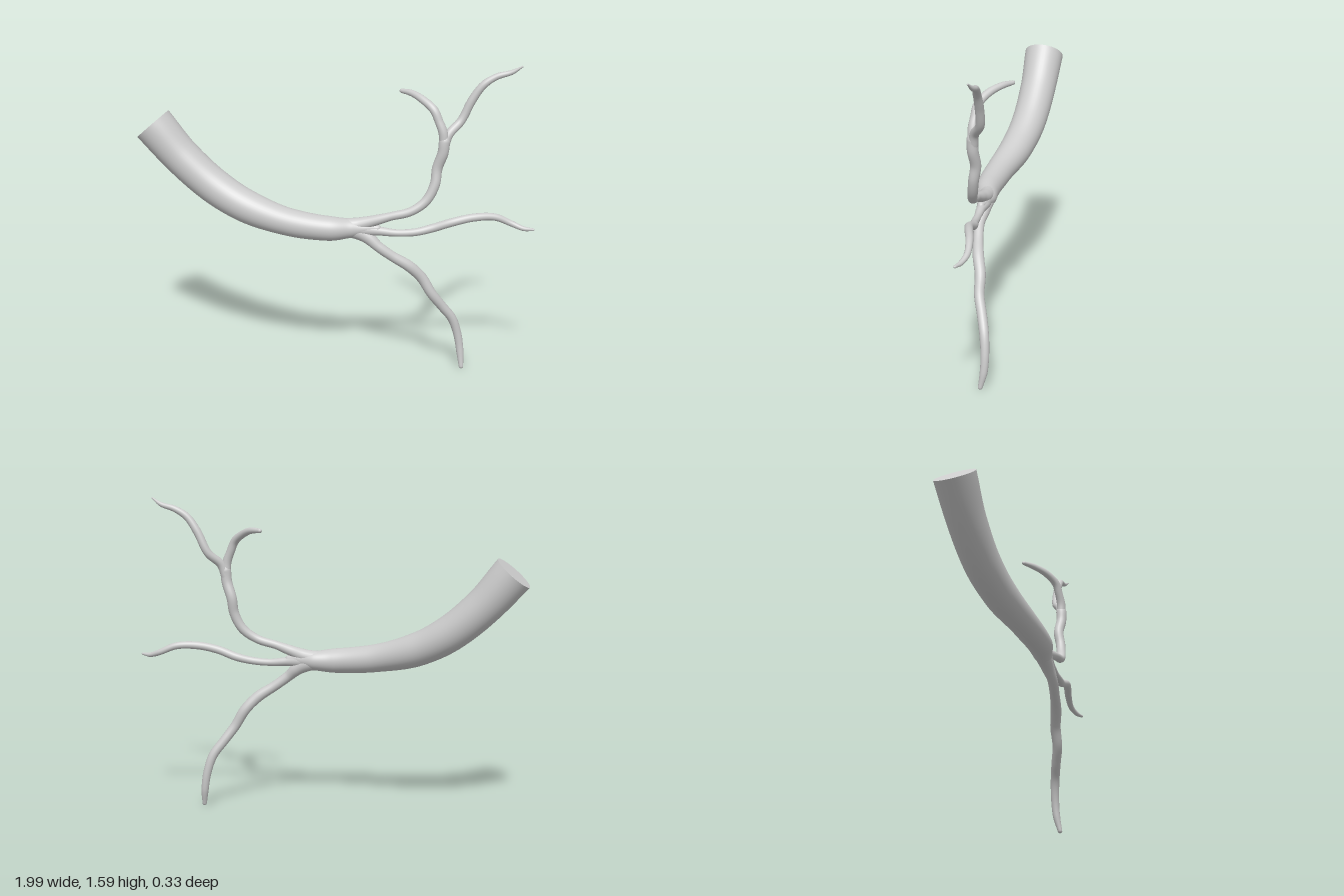
import * as THREE from 'three';

const material = new THREE.MeshStandardMaterial({ color: 0xcccccc });
const Z = new THREE.Vector3(0, 0, 1);

// Smooth tapered limb through stations [x, y, z, radius]; the far end is rounded.
function limb(name, stations, sides = 20) {
  const path = new THREE.CatmullRomCurve3(stations.map(s => new THREE.Vector3(s[0], s[1], s[2])));
  const steps = (stations.length - 1) * 8;
  const positions = [], index = [];
  let rings = 0;

  const addRing = (center, tangent, radius) => {
    const n = Z.clone().cross(tangent).normalize();
    const b = tangent.clone().cross(n);
    for (let i = 0; i < sides; i++) {
      const a = (i / sides) * Math.PI * 2;
      const p = center.clone()
        .addScaledVector(n, Math.cos(a) * radius)
        .addScaledVector(b, Math.sin(a) * radius);
      positions.push(p.x, p.y, p.z);
    }
    rings++;
  };

  for (let k = 0; k <= steps; k++) {
    const t = k / steps;
    const f = t * (stations.length - 1);
    const i = Math.min(Math.floor(f), stations.length - 2);
    const radius = THREE.MathUtils.lerp(stations[i][3], stations[i + 1][3],
      THREE.MathUtils.smoothstep(f - i, 0, 1) * 0.4 + (f - i) * 0.6);
    addRing(path.getPoint(t), path.getTangent(t), radius);
  }
  // Rounded tip
  const end = path.getPoint(1), dir = path.getTangent(1), r = stations.at(-1)[3];
  for (let k = 1; k <= 4; k++) {
    const a = (k / 4) * Math.PI / 2;
    addRing(end.clone().addScaledVector(dir, r * Math.sin(a)), dir, Math.max(r * Math.cos(a), 1e-4));
  }

  for (let k = 0; k < rings - 1; k++) {
    for (let i = 0; i < sides; i++) {
      const j = (i + 1) % sides;
      const a = k * sides + i, b = k * sides + j;
      index.push(a, b, a + sides, b, b + sides, a + sides);
    }
  }
  const geometry = new THREE.BufferGeometry();
  geometry.setAttribute('position', new THREE.Float32BufferAttribute(positions, 3));
  geometry.setIndex(index);
  geometry.computeVertexNormals();
  const mesh = new THREE.Mesh(geometry, material);
  mesh.name = name;
  mesh.userData.startDirection = path.getTangent(0);
  return mesh;
}

export function createModel() {
  const group = new THREE.Group();
  group.name = 'branch';

  // Thick stem, narrowing into the fork
  const trunk = limb('trunk', [
    [-0.915, 1.245, 0.06, 0.103], [-0.77, 1.08, 0.052, 0.094], [-0.6, 0.937, 0.052, 0.09],
    [-0.43, 0.848, 0.066, 0.084], [-0.21, 0.79, 0.088, 0.07], [0, 0.768, 0.078, 0.062],
    [0.1, 0.767, 0.047, 0.049], [0.17, 0.769, 0.037, 0.034], [0.235, 0.772, 0.031, 0.018],
  ], 40);
  group.add(trunk);

  // Flat cut face of the stem
  const cut = new THREE.Mesh(new THREE.CircleGeometry(0.103, 40), material);
  cut.name = 'cutFace';
  cut.position.set(-0.915, 1.245, 0.06);
  cut.quaternion.setFromUnitVectors(Z, trunk.userData.startDirection.clone().negate());
  group.add(cut);

  // Upper branch up to its fork
  group.add(limb('upperBranch', [
    [0.07, 0.772, 0.052, 0.044], [0.15, 0.79, 0.038, 0.034], [0.22, 0.812, 0.035, 0.027],
    [0.3, 0.838, 0.03, 0.021], [0.4, 0.867, 0.015, 0.022], [0.47, 0.92, -0.01, 0.024],
    [0.508, 1.0, -0.028, 0.025], [0.516, 1.08, -0.042, 0.026], [0.543, 1.16, -0.038, 0.027],
    [0.55, 1.22, -0.04, 0.028], [0.56, 1.255, -0.05, 0.015],
  ]));

  // Twig curling inwards
  group.add(limb('innerTwig', [
    [0.548, 1.19, -0.04, 0.024], [0.542, 1.26, -0.037, 0.023], [0.52, 1.315, -0.04, 0.021],
    [0.492, 1.37, -0.047, 0.021], [0.432, 1.41, -0.078, 0.019], [0.37, 1.43, -0.12, 0.016],
    [0.312, 1.432, -0.155, 0.011],
  ]));

  // Twig reaching outwards
  group.add(limb('outerTwig', [
    [0.545, 1.18, -0.04, 0.024], [0.567, 1.25, -0.055, 0.022], [0.618, 1.31, -0.1, 0.021],
    [0.668, 1.415, -0.114, 0.021], [0.72, 1.49, -0.122, 0.019], [0.78, 1.53, -0.138, 0.016],
    [0.85, 1.552, -0.148, 0.012], [0.902, 1.584, -0.145, 0.004],
  ]));

  // Middle branch
  group.add(limb('middleBranch', [
    [0.09, 0.767, 0.05, 0.044], [0.17, 0.763, 0.037, 0.034], [0.25, 0.757, 0.028, 0.022],
    [0.33, 0.75, 0.016, 0.018], [0.42, 0.756, 0, 0.019], [0.5, 0.775, -0.024, 0.021],
    [0.6, 0.81, -0.038, 0.021], [0.7, 0.831, -0.072, 0.02], [0.8, 0.829, -0.11, 0.018],
    [0.88, 0.796, -0.128, 0.015], [0.94, 0.777, -0.12, 0.012], [0.99, 0.778, -0.11, 0.007],
  ]));

  // Lower branch
  group.add(limb('lowerBranch', [
    [0.07, 0.764, 0.052, 0.044], [0.13, 0.752, 0.041, 0.039], [0.19, 0.722, 0.037, 0.033],
    [0.24, 0.68, 0.038, 0.026], [0.31, 0.627, 0.02, 0.025], [0.39, 0.572, -0.008, 0.028],
    [0.45, 0.505, -0.038, 0.027], [0.5, 0.42, -0.05, 0.025], [0.55, 0.345, -0.08, 0.024],
    [0.6, 0.27, -0.108, 0.023], [0.628, 0.18, -0.121, 0.021], [0.643, 0.09, -0.12, 0.019],
    [0.653, 0.013, -0.106, 0.012],
  ]));

  return group;
}
